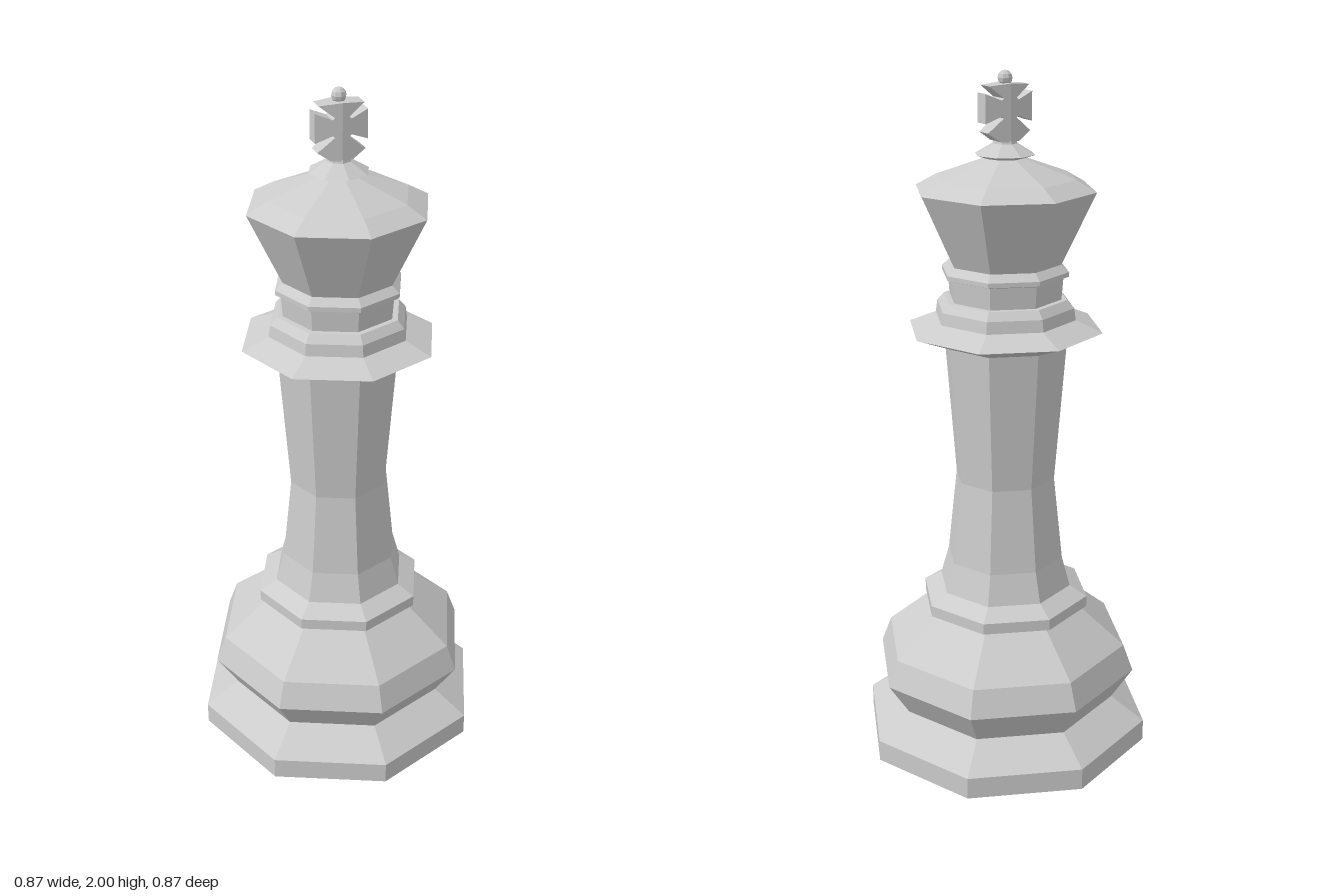
import * as THREE from 'three';

export function createModel() {
  const model = new THREE.Group();
  const material = new THREE.MeshStandardMaterial({ color: 0xcccccc, flatShading: true });

  function add(name, geometry, parent = model) {
    const mesh = new THREE.Mesh(geometry, material);
    mesh.name = name;
    parent.add(mesh);
    return mesh;
  }
  // Eight-sided turned part from [radius, height] pairs, bottom to top
  const turned = (name, profile) =>
    add(name, new THREE.LatheGeometry(profile.map(([r, y]) => new THREE.Vector2(r, y)), 8));

  turned('base', [
    [0, 0], [0.436, 0], [0.436, 0.065], [0.335, 0.135], [0.398, 0.235],
    [0.368, 0.315], [0.23, 0.43], [0.252, 0.432], [0.252, 0.465], [0.2, 0.495],
  ]);
  turned('shaft', [[0.2, 0.495], [0.175, 0.585], [0.148, 0.835], [0.18, 1.245]]);
  turned('collar', [
    [0.18, 1.245], [0.283, 1.285], [0.205, 1.318], [0.2, 1.352], [0.18, 1.375], [0.163, 1.375],
  ]);
  turned('neck', [
    [0.163, 1.375], [0.168, 1.437], [0.184, 1.442], [0.184, 1.455], [0.162, 1.475],
  ]);
  turned('crown', [[0.162, 1.475], [0.258, 1.68], [0.2, 1.712], [0.055, 1.765]]);
  turned('finial', [[0.055, 1.765], [0.085, 1.775], [0.035, 1.805], [0.028, 1.83], [0, 1.83]]);

  // Cross with flared arms: one half, thickest at the middle, repeated by a half turn
  const outline = [
    [0, 1.81], [0.03, 1.812], [0.067, 1.837], [0.05, 1.85], [0.02, 1.875], [0.026, 1.88],
    [0.073, 1.862], [0.073, 1.942], [0.026, 1.922], [0.02, 1.928],
    [0.063, 1.961], [0, 1.966],
  ];
  const shape = new THREE.Shape(outline.map(([x, y]) => new THREE.Vector2(x, y)));
  const half = new THREE.ExtrudeGeometry(shape, { depth: 2, bevelEnabled: false });
  half.translate(0, 0, -1);
  const p = half.attributes.position;
  for (let i = 0; i < p.count; i++) p.setZ(i, p.getZ(i) * (0.032 - 0.14 * p.getX(i)));
  half.computeVertexNormals();
  const cross = new THREE.Group();
  cross.name = 'cross';
  model.add(cross);
  add('crossLeftHalf', half, cross);
  add('crossRightHalf', half, cross).rotation.y = Math.PI;

  // Small ball on top
  add('topBall', new THREE.SphereGeometry(0.021, 8, 6)).position.y = 1.979;
  return model;
}
